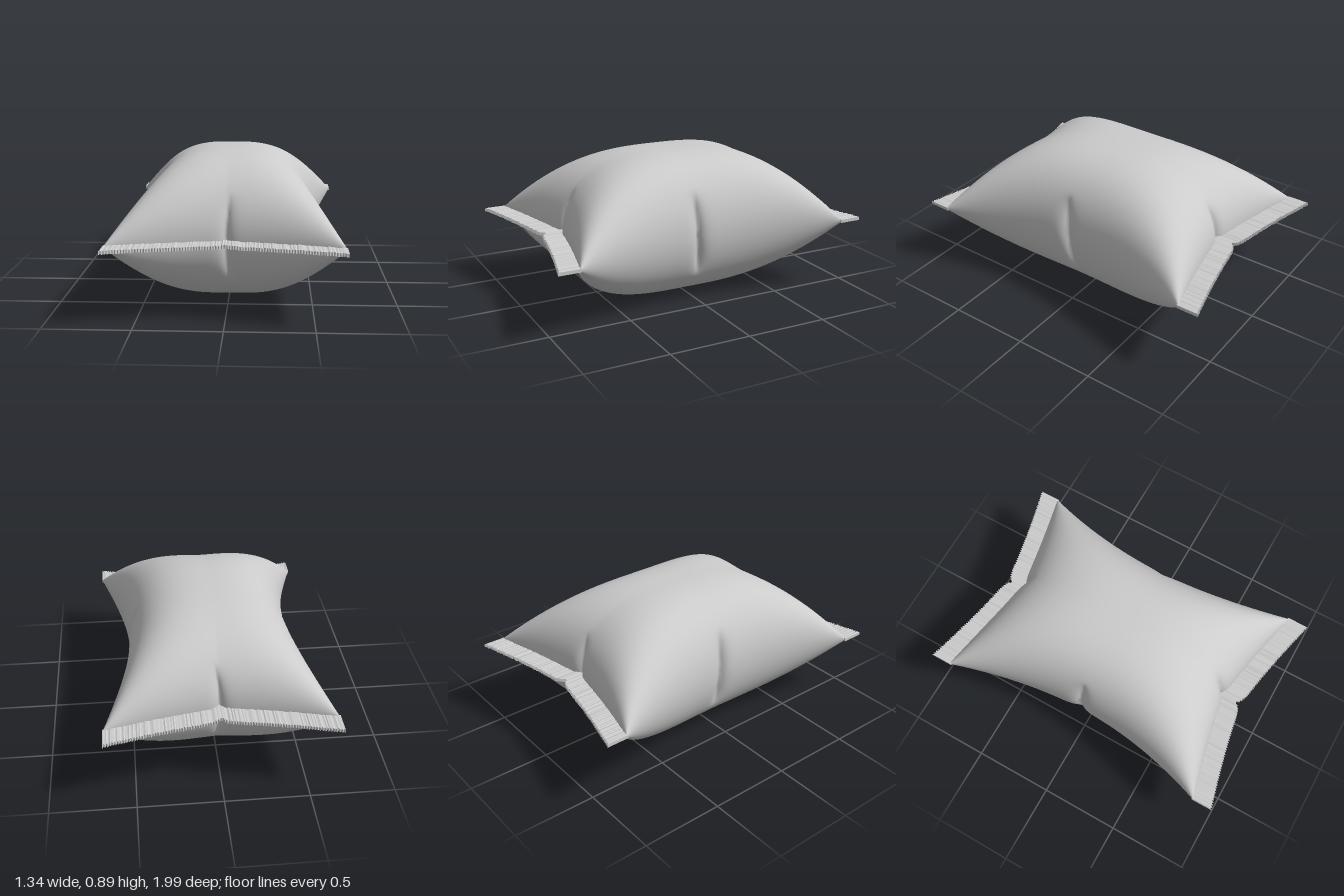
import * as THREE from 'three';
import { mergeVertices } from 'three/addons/utils/BufferGeometryUtils.js';

const MID = 0.447, HALF_HEIGHT = 0.443, POWER = 2.8;
const material = new THREE.MeshStandardMaterial({ color: 0xcccccc });

const fade = (t) => THREE.MathUtils.smoothstep(Math.abs(t), 0.84, 1);
const seamY = (v) => MID - 0.014 * v ** 3;

// A point on the inflated skin; u runs across, v runs along, side is +1 top or -1 bottom
function skinPoint(u, v, side) {
  const puff = Math.sqrt(Math.max(0, (1 - Math.abs(u) ** POWER) * (1 - Math.abs(v) ** POWER)));
  const h = side * HALF_HEIGHT * puff;
  let x = u * (0.5 + 0.17 * v * v);
  let z = v * (0.735 + 0.137 * Math.abs(u) ** 1.3);
  // pinched creases halfway along the sides and in the middle of the ends
  const sideCrease = (u > 0 ? 0.04 : -0.03) + 0.06 * h;
  const endCrease = 0.35 * h * h;
  const dx = 0.052 * fade(u) * Math.exp(-Math.abs(z - sideCrease) / 0.028);
  const dz = 0.038 * fade(v) * Math.exp(-Math.abs(x - endCrease) / 0.025);
  x -= Math.sign(u) * dx;
  z -= Math.sign(v) * dz;
  return [x, seamY(v) + h, z];
}

function makeGeometry(positions) {
  const geometry = new THREE.BufferGeometry();
  geometry.setAttribute('position', new THREE.Float32BufferAttribute(positions, 3));
  return geometry;
}

// Pillow body: two mirrored sheets welded around the rim
function createBody() {
  const N = 110;
  // closer rows at the creases in the middle and at the rim
  const spread = (i) => {
    const a = (2 * i) / N - 1;
    return Math.sin((Math.PI / 2) * 0.5 * (a + a ** 3));
  };
  const positions = [];
  for (const side of [1, -1]) {
    for (let i = 0; i < N; i++) {
      for (let j = 0; j < N; j++) {
        const a = skinPoint(spread(i), spread(j), side);
        const b = skinPoint(spread(i), spread(j + 1), side);
        const c = skinPoint(spread(i + 1), spread(j + 1), side);
        const d = skinPoint(spread(i + 1), spread(j), side);
        const quad = side > 0 ? [a, b, c, a, c, d] : [a, c, b, a, d, c];
        positions.push(...quad.flat());
      }
    }
  }
  const geometry = mergeVertices(makeGeometry(positions), 1e-5);
  geometry.computeVertexNormals();
  return new THREE.Mesh(geometry, material);
}

// Crimped end seal: a thin strip with a zigzag outer edge and fine ridges
function createSeal(end) {
  const STEPS = 180;
  let seed = end > 0 ? 7 : 19;
  const random = () => (seed = (seed * 16807) % 2147483647) / 2147483647;
  const sections = [];
  for (let i = 0; i <= STEPS; i++) {
    const u = end * ((2 * i) / STEPS - 1);
    const [x, y, z] = skinPoint(u, end, 1);
    const inner = z - end * 0.012;
    const outer = z + end * (0.113 + (i % 2 ? 0 : 0.012));
    const ridge = (random() - 0.5) * 0.005;
    const top = y + 0.01 + ridge, bottom = y - 0.01 + ridge;
    sections.push([[x, top, inner], [x, top, outer], [x, bottom, outer], [x, bottom, inner]]);
  }
  const positions = [];
  for (let i = 0; i < STEPS; i++) {
    const p = sections[i], q = sections[i + 1];
    for (let k = 0; k < 4; k++) {
      const n = (k + 1) % 4;
      positions.push(...[p[k], p[n], q[n], p[k], q[n], q[k]].flat());
    }
  }
  // end caps
  const s = sections[0], e = sections[STEPS];
  positions.push(...[s[0], s[2], s[1], s[0], s[3], s[2]].flat());
  positions.push(...[e[0], e[1], e[2], e[0], e[2], e[3]].flat());
  const geometry = makeGeometry(positions);
  geometry.computeVertexNormals();
  return new THREE.Mesh(geometry, material);
}

export function createModel() {
  const model = new THREE.Group();
  model.name = 'pillowBag';

  const body = createBody();
  body.name = 'inflatedBody';
  model.add(body);

  for (const [name, end] of [['frontSeal', 1], ['backSeal', -1]]) {
    const seal = createSeal(end);
    seal.name = name;
    model.add(seal);
  }
  return model;
}
